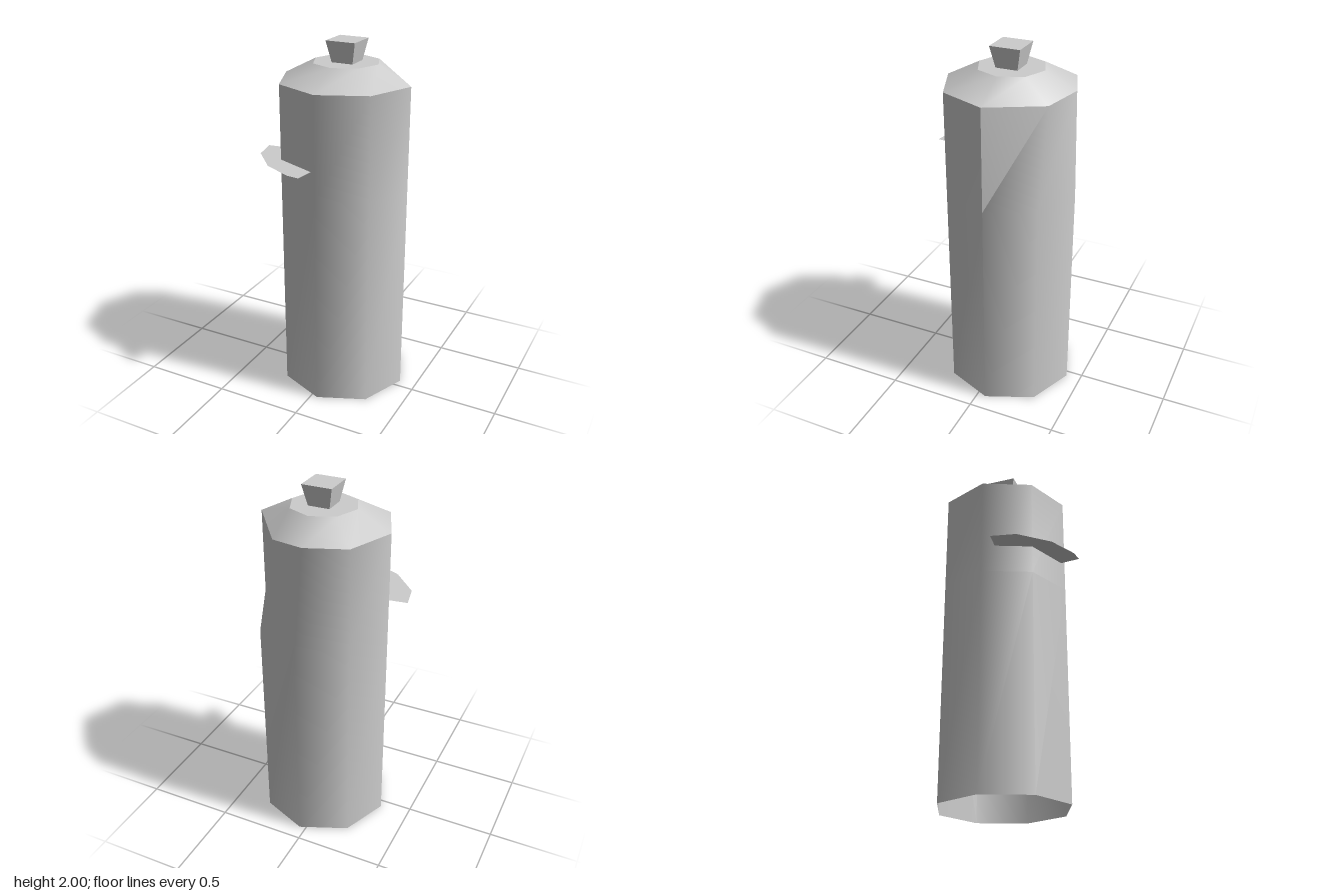
import * as THREE from 'three';
import { toCreasedNormals } from 'three/addons/utils/BufferGeometryUtils.js';

const SIDES = 8, CX = 0.037, CZ = -0.05;

// Eight-sided ring around the can's axis
function ring(radius, y) {
  return Array.from({ length: SIDES }, (_, i) => {
    const a = (i / SIDES) * Math.PI * 2;
    return [CX + radius * Math.cos(a), y, CZ + radius * Math.sin(a)];
  });
}

// Skin a stack of rings, listed from bottom to top
function loft(rings) {
  const index = [];
  for (let r = 0; r < rings.length - 1; r++) {
    for (let i = 0; i < SIDES; i++) {
      const j = (i + 1) % SIDES;
      const b0 = r * SIDES + i, b1 = r * SIDES + j;
      index.push(b0, b0 + SIDES, b1, b1, b0 + SIDES, b1 + SIDES);
    }
  }
  const geo = new THREE.BufferGeometry();
  geo.setAttribute('position', new THREE.Float32BufferAttribute(rings.flat(2), 3));
  geo.setIndex(index);
  geo.computeVertexNormals();
  return toCreasedNormals(geo, 0.87);
}

export function createModel() {
  const group = new THREE.Group();
  const metal = new THREE.MeshStandardMaterial({ color: 0xcccccc, side: THREE.DoubleSide });
  metal.name = 'light grey';
  const add = (name, geo) => {
    const mesh = new THREE.Mesh(geo, metal);
    mesh.name = name;
    group.add(mesh);
    return mesh;
  };

  // Shoulder rim, pushed in at two back corners
  const rim = ring(0.367, 1.79);
  rim[6] = [-0.005, 1.788, -0.388];
  rim[7] = [0.195, 1.766, -0.315];

  // Body, open at the bottom
  add('body', loft([ring(0.367, 0), ring(0.367, 1.22), rim]));

  // Sloping shoulder and flat top
  add('shoulder', loft([rim, ring(0.183, 1.885)]));
  const top = new THREE.CircleGeometry(0.183, SIDES).rotateX(-Math.PI / 2);
  add('top', top).position.set(CX, 1.885, CZ);

  // Square nozzle, wider at the top
  const nozzle = new THREE.CylinderGeometry(0.167 / Math.SQRT2, 0.12 / Math.SQRT2, 0.115, 4)
    .rotateY(Math.PI / 4);
  add('nozzle', toCreasedNormals(nozzle, 0.5)).position.set(0.041, 1.9425, -0.048);

  // Flat crescent sheet standing out from the front right side
  const outline = [
    [-0.405, 0.03], [-0.375, 0.17], [-0.235, 0.325], [-0.075, 0.405], [-0.003, 0.415],
    [0.012, 0.285], [-0.07, 0.255], [-0.19, 0.19], [-0.26, 0.08], [-0.28, 0.015],
  ].map(([x, z]) => new THREE.Vector2(x, -z));
  const sheet = new THREE.ShapeGeometry(new THREE.Shape(outline)).rotateX(-Math.PI / 2);
  add('sideSheet', sheet).position.y = 1.38;

  return group;
}
